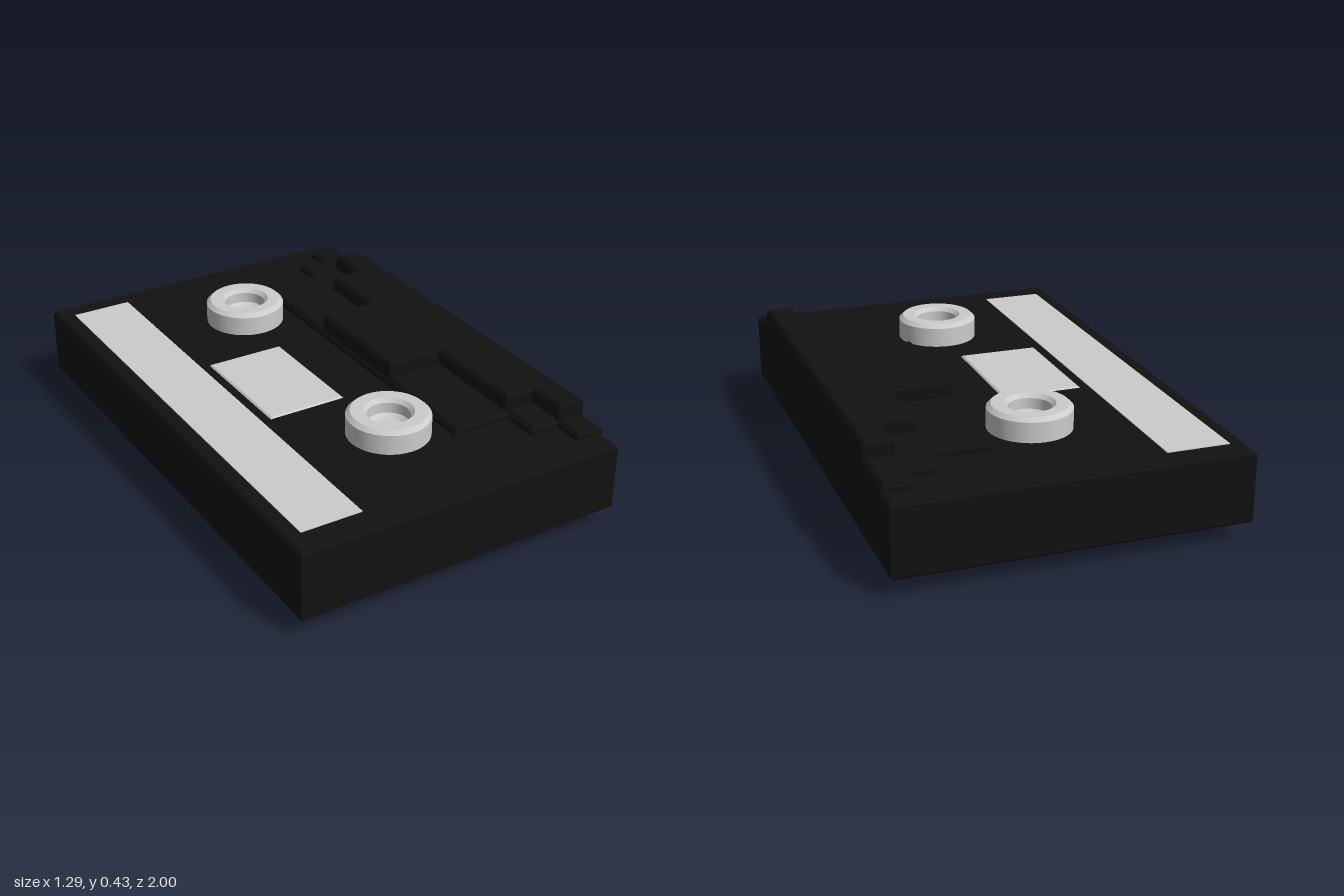
import * as THREE from 'three';

const BLACK = 0x111111, GREY = 0xcccccc;

function addMesh(group, name, geometry, color) {
  const mesh = new THREE.Mesh(geometry, new THREE.MeshStandardMaterial({ color, flatShading: true }));
  mesh.name = name;
  group.add(mesh);
  return mesh;
}

// Chamfered slab from an outline of [x, z] points, between heights y0 and y1
function slab(points, y0, y1, bevel) {
  const shape = new THREE.Shape(points.map(([x, z]) => new THREE.Vector2(x, -z)));
  const geometry = new THREE.ExtrudeGeometry(shape, {
    depth: y1 - y0 - 2 * bevel, bevelEnabled: bevel > 0, bevelSegments: 1,
    bevelSize: bevel, bevelThickness: bevel, bevelOffset: -bevel,
  });
  return geometry.rotateX(-Math.PI / 2).translate(0, y0 + bevel, 0);
}

const rect = (x0, x1, z0, z1) => [[x0, z1], [x1, z1], [x1, z0], [x0, z0]];

// Staircase outline: each step is [inner x, back z, front z], innermost first
function stepped(steps, outerX) {
  const back = [], front = [];
  steps.forEach(([x, zb, zf], i) => {
    const next = i + 1 < steps.length ? steps[i + 1][0] : outerX;
    front.push([x, zf], [next, zf]);
    back.push([x, zb], [next, zb]);
  });
  return [...front, ...back.reverse()];
}

export function createModel() {
  const model = new THREE.Group();
  model.name = 'cassette';

  // Main shell
  addMesh(model, 'shell', slab(rect(-0.645, 0.645, -1, 1), 0.07, 0.34, 0.012), BLACK);

  // Two-tier thick section along the tape edge
  addMesh(model, 'lowerTier', slab(stepped(
    [[0.185, -0.7, 0.66], [0.42, -0.82, 0.8], [0.535, -0.91, 0.91]], 0.645), 0.28, 0.37, 0.015), BLACK);
  addMesh(model, 'upperTier', slab(stepped(
    [[0.195, -0.25, 0.23], [0.415, -0.53, 0.65], [0.535, -0.7, 0.8]], 0.645), 0.28, 0.43, 0.012), BLACK);

  // Label strip and viewing window
  addMesh(model, 'labelStrip', slab(rect(-0.585, -0.35, -0.915, 0.895), 0.3, 0.343, 0), GREY);
  addMesh(model, 'window', slab(rect(-0.32, 0, -0.255, 0.23), 0.3, 0.346, 0.012), GREY);

  // Hubs: chamfered drums with a dished recess on top
  const profile = [[0, 0], [0.138, 0], [0.154, 0.014], [0.154, 0.415], [0.138, 0.43],
    [0.092, 0.43], [0.078, 0.415], [0.078, 0.375], [0.062, 0.36], [0, 0.36]]
    .map(([r, y]) => new THREE.Vector2(r, y));
  for (const [name, z] of [['backHub', -0.54], ['frontHub', 0.515]]) {
    // Repeated profile points keep the rings crisp while the sides stay smooth
    const crisp = new THREE.Group();
    crisp.name = name;
    crisp.position.z = z;
    for (let i = 0; i + 1 < profile.length; i++) {
      const ring = addMesh(crisp, name + 'Ring' + (i + 1),
        new THREE.LatheGeometry([profile[i], profile[i + 1]], 40), GREY);
      ring.material.flatShading = false;
    }
    model.add(crisp);
  }
  return model;
}
